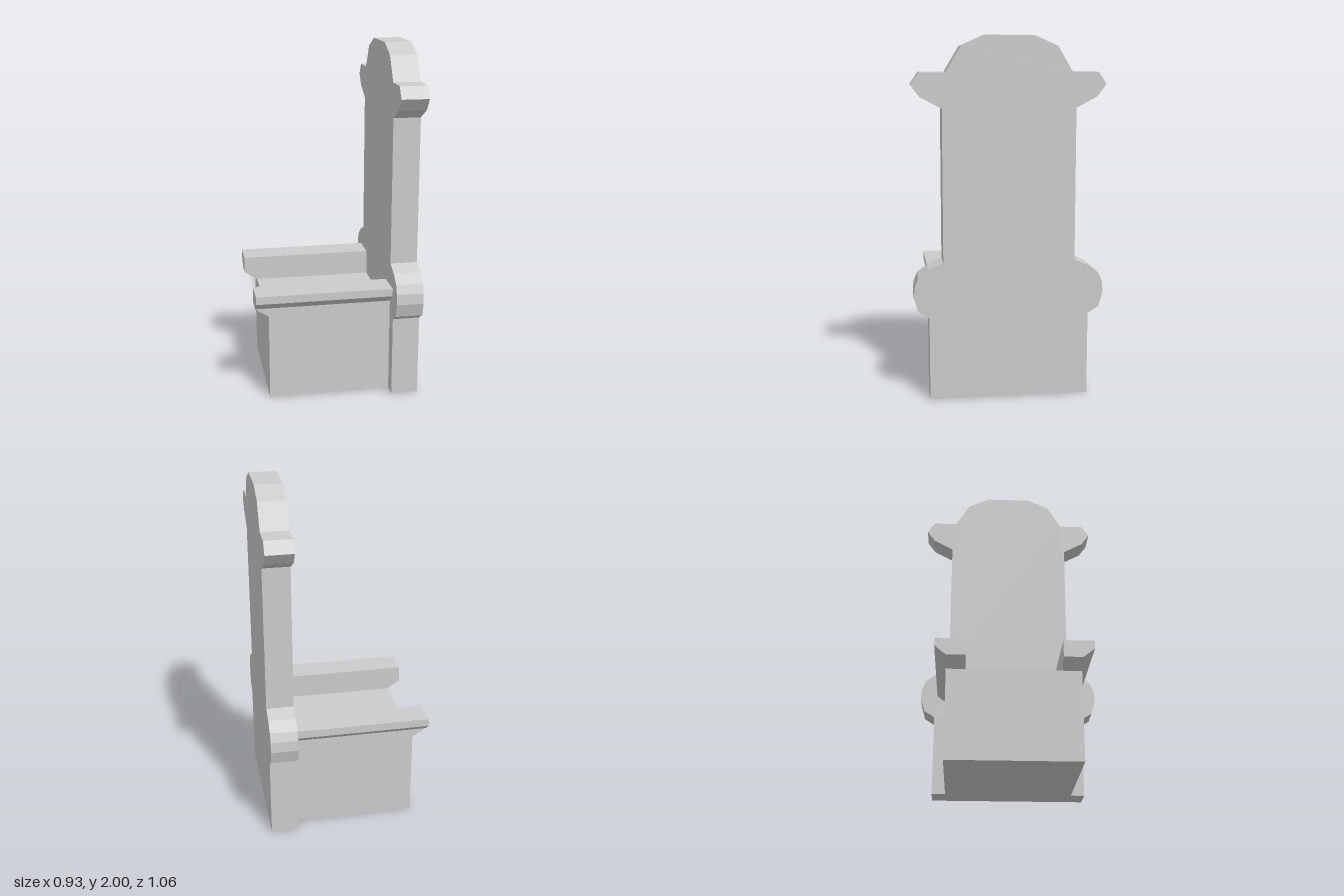
import * as THREE from 'three';

const material = new THREE.MeshStandardMaterial({ color: 0xcccccc, flatShading: true });

const FRONT = -0.467, BACK = 0.467; // overall extent along x
const SEAT_FRONT = -0.39, PANEL = 0.312; // seat front, face of the back panel
const SEAT_TOP = 0.5, ARM_BASE = 0.55, ARM_TOP = 0.645;
const SEAT_HALF = 0.365, ARM_INNER = 0.26, ARM_OUTER = 0.428;

function extrude(name, points, depth) {
  const shape = new THREE.Shape(points.map(([a, b]) => new THREE.Vector2(a, b)));
  const geometry = new THREE.ExtrudeGeometry(shape, { depth, bevelEnabled: false });
  const mesh = new THREE.Mesh(geometry, material);
  mesh.name = name;
  return mesh;
}

// Extrudes a (z, y) outline along x; the turn maps outline x to -z
function extrudeAlongX(name, points, x0, x1) {
  const mesh = extrude(name, points.map(([z, y]) => [-z, y]), x1 - x0);
  mesh.geometry.rotateY(Math.PI / 2).translate(x0, 0, 0);
  return mesh;
}

export function createModel() {
  const model = new THREE.Group();
  model.name = 'throne';

  // Solid seat block
  const seat = new THREE.Mesh(
    new THREE.BoxGeometry(PANEL - SEAT_FRONT, SEAT_TOP, SEAT_HALF * 2), material);
  seat.name = 'seat';
  seat.position.set((PANEL + SEAT_FRONT) / 2, SEAT_TOP / 2, 0);
  model.add(seat);

  // Tall back panel: half outline, mirrored
  const half = [
    [0.443, 0], [0.443, 0.466], [0.504, 0.504], [0.527, 0.583], [0.522, 0.643],
    [0.502, 0.694], [0.443, 0.74], [0.364, 0.775], // lower scroll
    [0.364, 1.613], [0.48, 1.675], [0.528, 1.74], [0.484, 1.805], [0.343, 1.805], // ear
    [0.26, 1.943], [0.132, 2], // crest
  ];
  const mirrored = half.map(([z, y]) => [-z, y]).reverse();
  model.add(extrudeAlongX('backPanel', [...half, ...mirrored], PANEL, BACK));

  // Armrests with a sloped outer underside, on a rail with a sloped front
  for (const [side, s] of [['left', 1], ['right', -1]]) {
    const arm = new THREE.Group();
    arm.name = side + 'Armrest';
    const top = [
      [ARM_INNER, ARM_BASE], [SEAT_HALF, ARM_BASE], [ARM_OUTER, 0.6],
      [ARM_OUTER, ARM_TOP], [ARM_INNER, ARM_TOP],
    ];
    arm.add(extrudeAlongX('armTop', top.map(([z, y]) => [s * z, y]), FRONT, PANEL));

    const rail = extrude('armRail', [
      [SEAT_FRONT, SEAT_TOP], [PANEL, SEAT_TOP], [PANEL, ARM_BASE], [FRONT, ARM_BASE],
    ], SEAT_HALF - ARM_INNER);
    rail.position.z = s > 0 ? ARM_INNER : -SEAT_HALF;
    arm.add(rail);
    model.add(arm);
  }

  return model;
}
